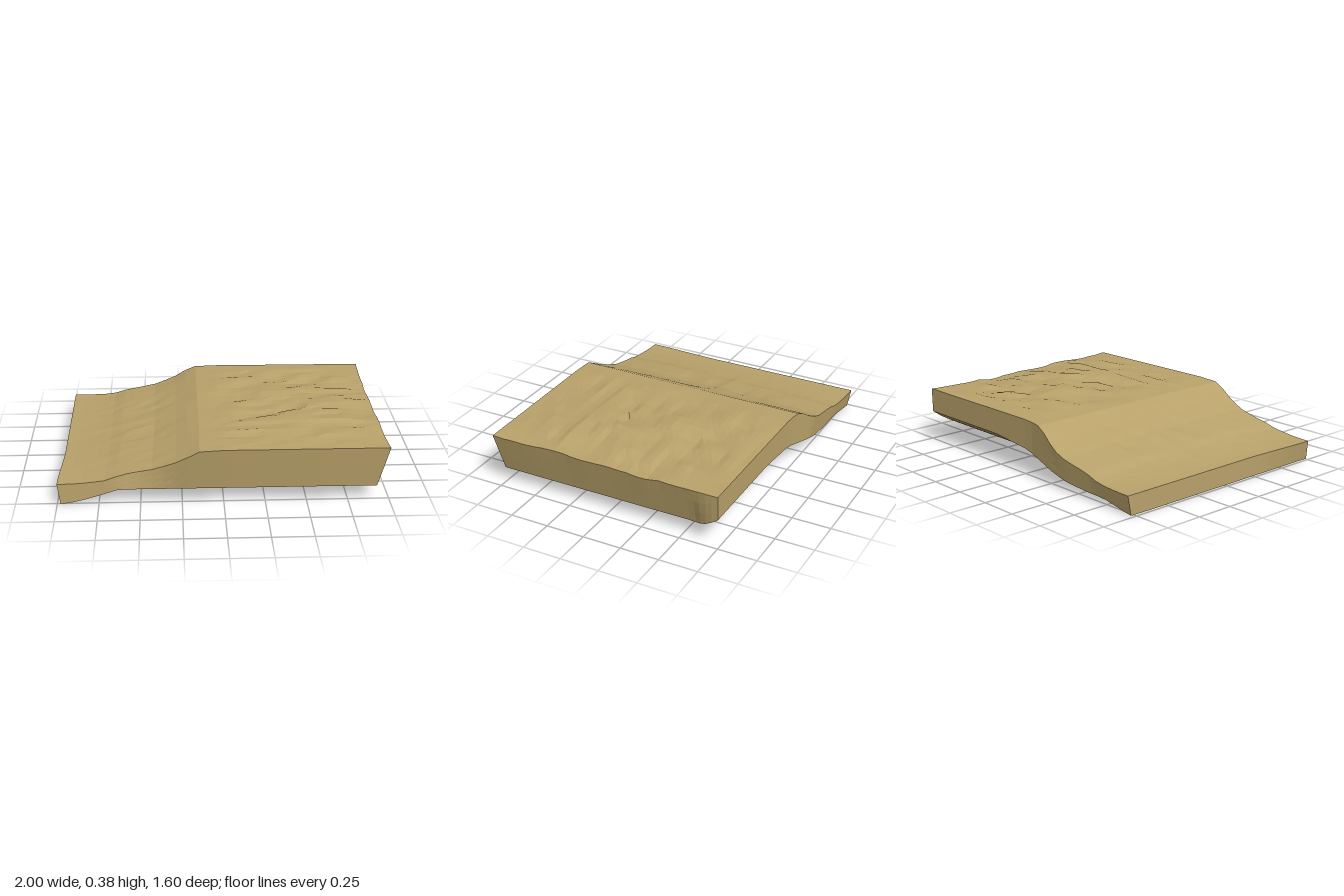
import * as THREE from 'three';

const { lerp, smoothstep, clamp } = THREE.MathUtils;

// Piecewise-linear profile through [x, value] points
function profile(points, x) {
  if (x <= points[0][0]) return points[0][1];
  for (let i = 1; i < points.length; i++) {
    const [x0, y0] = points[i - 1], [x1, y1] = points[i];
    if (x <= x1) return lerp(y0, y1, (x - x0) / (x1 - x0));
  }
  return points[points.length - 1][1];
}

// Smooth value noise in 0..1
function hash(i, j) {
  const s = Math.sin(i * 127.1 + j * 311.7) * 43758.5453;
  return s - Math.floor(s);
}
function noise(x, y) {
  const i = Math.floor(x), j = Math.floor(y);
  const a = smoothstep(x - i, 0, 1), b = smoothstep(y - j, 0, 1);
  return lerp(lerp(hash(i, j), hash(i + 1, j), a), lerp(hash(i, j + 1), hash(i + 1, j + 1), a), b);
}

// Ground height, slab underside and outline, all along x
const GROUND = [[-1, 0.135], [-0.88, 0.138], [-0.72, 0.155], [-0.62, 0.187], [-0.42, 0.225],
  [-0.3, 0.27], [-0.23, 0.305], [-0.16, 0.35], [0, 0.358], [1, 0.355]];
const UNDERSIDE = [[-0.98, 0.01], [-0.88, 0.025], [-0.75, 0.062], [-0.63, 0.1], [1, 0.1]];
const BACK_RIM = [[-0.98, 0.012], [-0.9, 0.025], [-0.75, 0.053], [-0.6, 0.055], [-0.4, 0.07],
  [-0.25, 0.11], [0, 0.17], [0.3, 0.2], [1, 0.2]];
const FRONT_Z = [[-1, 0.75], [-0.7, 0.755], [-0.55, 0.74], [-0.4, 0.755], [-0.2, 0.797], [1, 0.788]];
const BACK_Z = [[-1, -0.8], [-0.6, -0.785], [-0.35, -0.79], [-0.2, -0.765], [-0.05, -0.745], [1, -0.745]];

// u runs left edge to right edge, v runs front to back
function top(u, v) {
  const inner = 1 - Math.pow(Math.abs(2 * v - 1), 4);
  const x = lerp(lerp(-1, -0.98, smoothstep(v, 0, 0.35)), lerp(0.995, 0.985, inner), u);
  const z = lerp(profile(FRONT_Z, x), profile(BACK_Z, x), v);
  const wander = 0.03 * (noise(3.3, z * 4) - 0.5) * inner;
  const slope = smoothstep(x, -1, -0.65) * (1 - smoothstep(x, -0.35, -0.15));
  const plateau = smoothstep(x, -0.15, 0.25) * lerp(1, 0.5, smoothstep(x, 0.75, 1));
  // broad swells plus small facets drawn out along x
  const swell = noise(x * 3 + z, z * 5) - 0.5;
  const facet = noise(x * 8 + z * 3 + 40, z * 14) - 0.5;
  const backDip = 0.015 * smoothstep(v, 0.8, 1);
  const endDip = 0.012 * smoothstep(x, 0.75, 1) * inner;
  const y = profile(GROUND, x + wander)
    + plateau * inner * (0.03 * swell + 0.03 * facet + 0.01) - endDip
    + slope * (inner * (0.008 + 0.015 * swell + 0.012 * facet) - backDip);
  return new THREE.Vector3(x, y, z);
}

function bottom(u, v) {
  // the underside curves up along the back rim
  const lift = clamp((v - 0.885) / 0.115, 0, 1);
  const x = lerp(-0.98, lerp(0.925, 0.99, 1 - (1 - lift) ** 2), u);
  const z = lerp(0.76, Math.max(profile(BACK_Z, x), -0.775), v);
  return new THREE.Vector3(x, lerp(profile(UNDERSIDE, x), profile(BACK_RIM, x), lift ** 1.3), z);
}

// Grid surface from point(u, v), facing du x dv
function patch(nu, nv, point) {
  const positions = [], index = [];
  for (let j = 0; j <= nv; j++)
    for (let i = 0; i <= nu; i++) positions.push(...point(i / nu, j / nv).toArray());
  for (let j = 0; j < nv; j++)
    for (let i = 0; i < nu; i++) {
      const a = j * (nu + 1) + i, b = a + 1, c = a + nu + 1, d = c + 1;
      index.push(a, b, d, a, d, c);
    }
  const geometry = new THREE.BufferGeometry();
  geometry.setAttribute('position', new THREE.Float32BufferAttribute(positions, 3));
  geometry.setIndex(index);
  geometry.computeVertexNormals();
  return geometry;
}

export function createModel() {
  const group = new THREE.Group();
  group.name = 'terrainSlab';
  const material = new THREE.MeshStandardMaterial({ color: 0xb8a16a, flatShading: true });
  const NX = 28, NZ = 36;

  const add = (name, nu, nv, point) => {
    const mesh = new THREE.Mesh(patch(nu, nv, point), material);
    mesh.name = name;
    group.add(mesh);
  };
  // a wall joins the underside rim to the ground rim
  const wall = (name, n, rim) => add(name, n, 3, (s, t) => {
    const [u, v] = rim(s);
    return bottom(u, v).lerp(top(u, v), t);
  });

  add('ground', NX, NZ, top);
  add('underside', NX, NZ, (u, v) => bottom(1 - u, v));
  wall('frontWall', NX, (s) => [s, 0]);
  wall('backWall', NX, (s) => [1 - s, 1]);
  wall('highEndWall', NZ, (s) => [1, s]);
  wall('lowEndWall', NZ, (s) => [0, 1 - s]);
  return group;
}
